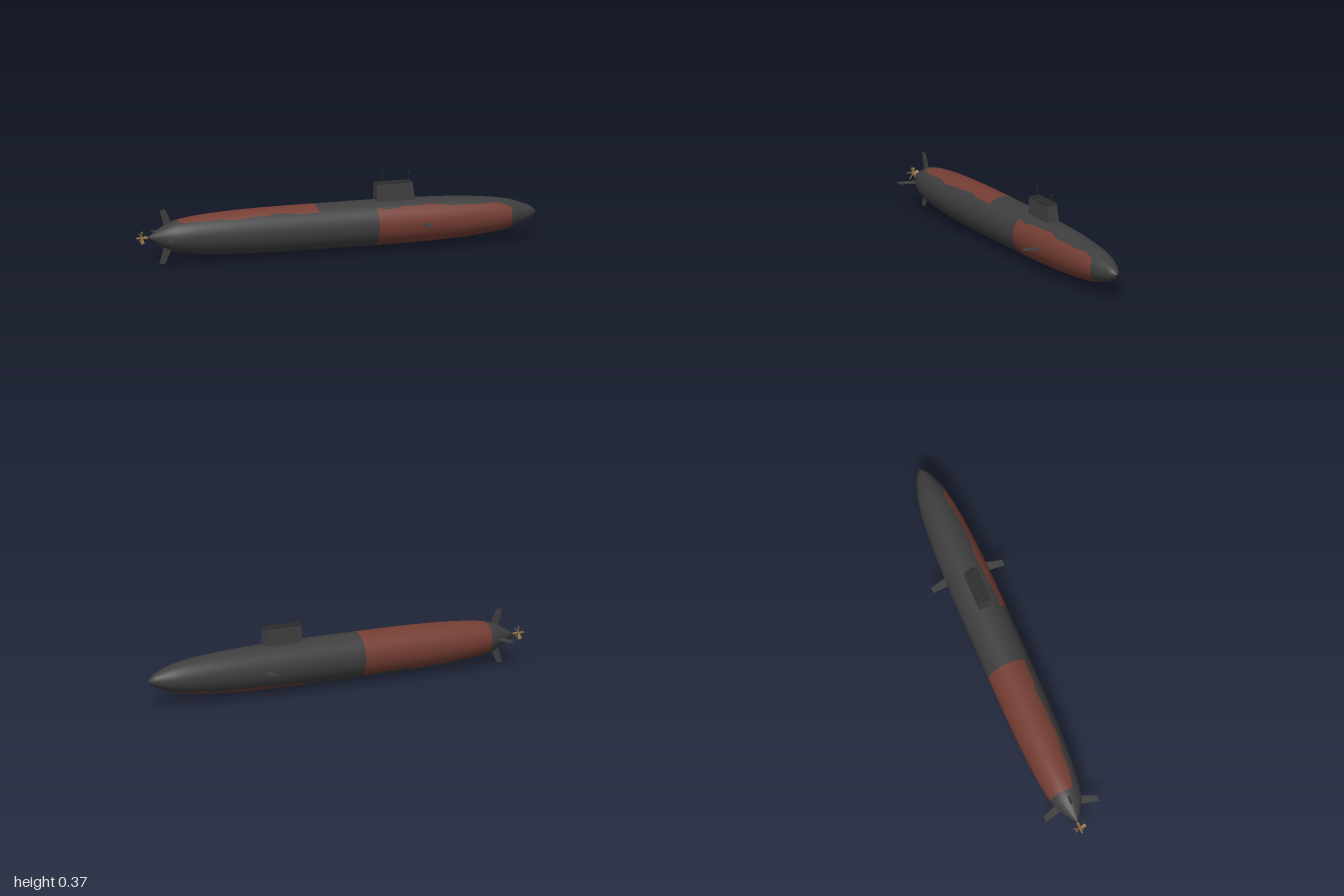
import * as THREE from 'three';

const AXIS_Y = 0.133;
const mat = (name, color) => {
  const m = new THREE.MeshStandardMaterial({ color });
  m.name = name;
  return m;
};

// Hull radius along x; entries 3, 7, 8 and 12 are the ends of the red patches
const PROFILE = [
  [-0.94, 0.003], [-0.9, 0.03], [-0.85, 0.058], [-0.795, 0.077], [-0.7, 0.091], [-0.55, 0.102],
  [-0.35, 0.108], [-0.11, 0.1095], [0.18, 0.1095], [0.4, 0.107], [0.6, 0.099], [0.75, 0.086],
  [0.855, 0.069], [0.93, 0.044], [0.97, 0.025], [0.995, 0],
];
const STEPS = 6;   // rings per profile entry
const ARC = 20;    // facets per half turn

// Angle (from +z towards up) of the wavy border between the two halves of the hull
function border(x, phase, side) {
  const wave = 0.06 * Math.sin(x * 17 + phase) + 0.035 * Math.sin(x * 41 + phase * 2);
  const corner = 0.3 * (Math.exp(-Math.abs(x + 0.795) / 0.025) - Math.exp(-Math.abs(x - 0.855) / 0.025));
  return THREE.MathUtils.degToRad(50) + wave + side * corner;
}

function buildHull(grey, red) {
  const curve = new THREE.SplineCurve(PROFILE.map(([x, r]) => new THREE.Vector2(x, r)));
  const rings = (PROFILE.length - 1) * STEPS;
  const pos = [], nor = [], idx = [[], []];
  const cols = 2 * ARC + 1;
  for (let i = 0; i <= rings; i++) {
    const p = curve.getPoint(i / rings), t = curve.getTangent(i / rings);
    const a = border(p.x, 0.6, 1);
    const b = border(p.x, 3.1, -1) + Math.PI;
    for (let j = 0; j < cols; j++) {
      const ang = j <= ARC ? a + (b - a) * j / ARC : b + (a + 2 * Math.PI - b) * (j - ARC) / ARC;
      const s = Math.sin(ang), c = Math.cos(ang);
      pos.push(p.x, AXIS_Y + p.y * s, p.y * c);
      nor.push(-t.y, t.x * s, t.x * c);
      if (i === rings || j === cols - 1) continue;
      // aft patch lies over the top and back, forward patch over the front and keel
      const k = Math.floor(i / STEPS);
      const painted = j < ARC ? k >= 3 && k < 7 : k >= 8 && k < 12;
      const q = i * cols + j;
      idx[painted ? 1 : 0].push(q, q + cols, q + cols + 1, q, q + cols + 1, q + 1);
    }
  }
  const g = new THREE.BufferGeometry();
  g.setAttribute('position', new THREE.Float32BufferAttribute(pos, 3));
  g.setAttribute('normal', new THREE.Float32BufferAttribute(nor, 3));
  g.setIndex([...idx[0], ...idx[1]]);
  g.addGroup(0, idx[0].length, 0);
  g.addGroup(idx[0].length, idx[1].length, 1);
  return new THREE.Mesh(g, [grey, red]);
}

// Thin tapered blade standing up from the hull axis
function finGeometry(rootY, tipY, root, tip, thick) {
  const s = new THREE.Shape();
  s.moveTo(root[0], rootY);
  s.lineTo(root[1], rootY);
  s.lineTo(tip[1], tipY);
  s.lineTo(tip[0], tipY);
  s.closePath();
  return new THREE.ExtrudeGeometry(s, { depth: thick, bevelEnabled: false }).translate(0, 0, -thick / 2);
}

export function createModel() {
  const model = new THREE.Group();
  const grey = mat('hull grey', 0x3e3e3e);
  const red = mat('rust red', 0x743d33);
  const dark = mat('dark grey', 0x2c2c2c);
  const bronze = mat('bronze', 0x8a6c40);
  const add = (parent, name, geo, material, x = 0, y = 0, z = 0) => {
    const m = new THREE.Mesh(geo, material);
    m.name = name;
    m.position.set(x, y, z);
    parent.add(m);
    return m;
  };

  const hull = buildHull(grey, red);
  hull.name = 'hull';
  model.add(hull);

  // Sail, narrowing to the top with a raked leading edge
  const sail = new THREE.BoxGeometry(1, 1, 1);
  const p = sail.attributes.position;
  for (let i = 0; i < p.count; i++) {
    const top = p.getY(i) > 0;
    const front = p.getX(i) > 0;
    p.setXYZ(i, front ? (top ? 0.37 : 0.385) : (top ? 0.192 : 0.19), top ? 0.321 : 0.21,
      Math.sign(p.getZ(i)) * (top ? 0.026 : 0.0315));
  }
  sail.computeVertexNormals();
  add(model, 'sail', sail, grey);
  add(model, 'sailTop', new THREE.BoxGeometry(0.182, 0.003, 0.062), dark, 0.281, 0.3215, 0);

  // Masts with small heads
  for (const x of [0.225, 0.362]) {
    add(model, 'mast', new THREE.CylinderGeometry(0.0024, 0.0024, 0.055, 8), dark, x, 0.345, 0);
    add(model, 'mastHead', new THREE.CylinderGeometry(0.0045, 0.0045, 0.008, 8), dark, x, 0.37, 0);
  }

  // Bow planes
  const plane = finGeometry(0.09, 0.183, [0.397, 0.442], [0.39, 0.418], 0.003);
  for (const s of [1, -1]) add(model, 'bowPlane', plane, grey, 0, AXIS_Y, 0).rotation.x = s * Math.PI / 2;

  // Cross of stern fins
  for (let i = 0; i < 4; i++) {
    const fin = finGeometry(0.02, i % 2 ? 0.138 : AXIS_Y - 0.002, [-0.853, -0.806], [-0.884, -0.855], 0.005);
    add(model, 'sternFin', fin, grey, 0, AXIS_Y, 0).rotation.x = i * Math.PI / 2;
  }

  // Propeller
  const propeller = new THREE.Group();
  propeller.name = 'propeller';
  propeller.position.set(-0.972, AXIS_Y, 0);
  model.add(propeller);
  const hub = new THREE.CylinderGeometry(0.007, 0.004, 0.056, 12).rotateZ(-Math.PI / 2);
  add(propeller, 'propellerHub', hub, bronze);
  const blade = finGeometry(0.003, 0.031, [-0.004, 0.004], [-0.01, 0.01], 0.0025).rotateY(Math.PI / 4);
  for (let i = 0; i < 5; i++) add(propeller, 'propellerBlade', blade, bronze).rotation.x = i * Math.PI * 2 / 5;

  return model;
}
